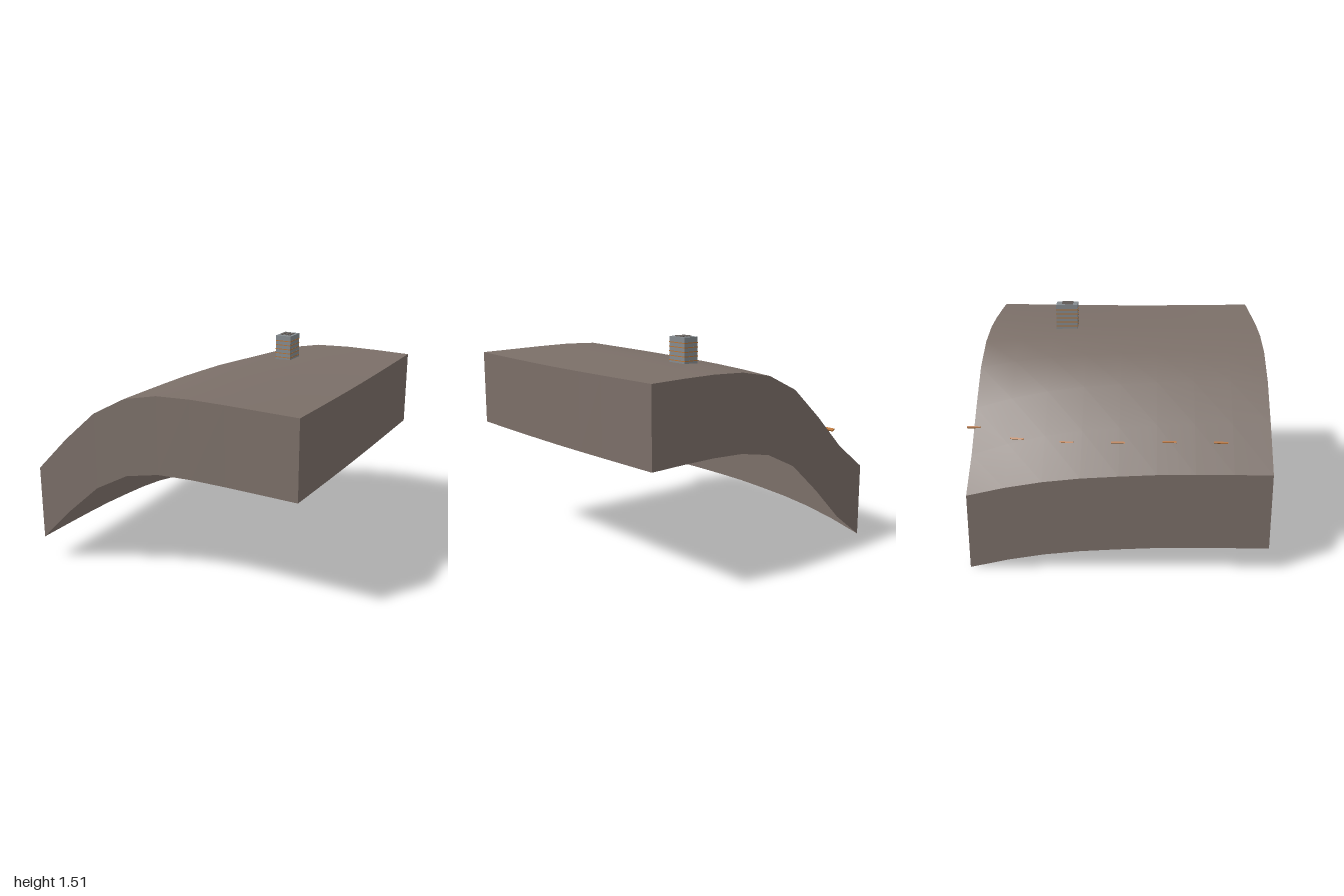
import * as THREE from 'three';

const mat = (name, color, side = THREE.FrontSide) => {
  const m = new THREE.MeshStandardMaterial({ color, side });
  m.name = name;
  return m;
};

// Terrain extents and edge profiles (8 even steps from -x to +x)
const X0 = -0.98, X1 = 0.98, Z0 = -0.955, Z1 = 1.0, N = 8, SKIRT = 0.52;
const frontProfile = [0.69, 0.935, 1.15, 1.28, 1.332, 1.342, 1.34, 1.335, 1.33];
const backProfile = [0.523, 0.705, 0.945, 1.16, 1.275, 1.32, 1.33, 1.328, 1.322];
// How far the section has changed from front to back
const blend = [0, 0, 0.01, 0.04, 0.12, 0.22, 0.39, 0.65, 1];

function sample(list, t) {
  const f = THREE.MathUtils.clamp(t, 0, 1) * N;
  const i = Math.min(Math.floor(f), N - 1);
  return THREE.MathUtils.lerp(list[i], list[i + 1], f - i);
}

// Ground height at u (left to right) and v (front to back)
function heightUV(u, v) {
  const h = THREE.MathUtils.lerp(sample(frontProfile, u), sample(backProfile, u), sample(blend, v));
  return h - 0.012 * u * Math.sin(Math.PI * v);
}
const heightAt = (x, z) => heightUV((x - X0) / (X1 - X0), (Z1 - z) / (Z1 - Z0));

// A plane grid whose vertices are placed by rule(u, v)
function sheet(su, sv, rule) {
  const g = new THREE.PlaneGeometry(1, 1, su, sv);
  const p = g.attributes.position;
  for (let i = 0; i < p.count; i++) p.setXYZ(i, ...rule(p.getX(i) + 0.5, p.getY(i) + 0.5));
  g.computeVertexNormals();
  return g;
}

export function createModel() {
  const root = new THREE.Group();
  const earth = mat('earth', 0x7b6f68, THREE.DoubleSide);
  const concrete = mat('concrete', 0x858b8f);
  const vent = mat('vent', 0x6a6460);
  const orange = mat('copper', 0xb87333);

  const add = (parent, name, geometry, material, x = 0, y = 0, z = 0) => {
    const m = new THREE.Mesh(geometry, material);
    m.name = name;
    m.position.set(x, y, z);
    parent.add(m);
    return m;
  };
  const lerp = THREE.MathUtils.lerp;

  // Curved ground surface
  const terrain = new THREE.Group();
  terrain.name = 'terrain';
  root.add(terrain);
  add(terrain, 'ground', sheet(N, N, (u, v) => [lerp(X0, X1, u), heightUV(u, v), lerp(Z1, Z0, v)]), earth);

  // Skirt walls, open underneath
  const wall = (name, path) => add(terrain, name, sheet(N, 1, (s, t) => {
    const [u, v] = path(s);
    return [lerp(X0, X1, u), heightUV(u, v) - SKIRT * (1 - t), lerp(Z1, Z0, v)];
  }), earth);
  wall('frontWall', s => [s, 0]);
  wall('backWall', s => [1 - s, 1]);
  wall('leftWall', s => [1, s]);
  wall('rightWall', s => [0, 1 - s]);

  // Small tower with banded sides and a slotted top
  const tower = new THREE.Group();
  tower.name = 'tower';
  tower.position.set(0.2425, 0, -0.3875);
  root.add(tower);
  const w = 0.115, d = 0.155, top = 1.503, base = 1.3;
  add(tower, 'towerBody', new THREE.BoxGeometry(w, top - base, d), concrete, 0, (top + base) / 2, 0);
  for (let i = 0; i < 5; i++) {
    add(tower, 'towerBand', new THREE.BoxGeometry(w + 0.002, 0.006, d + 0.002), orange, 0, 1.345 + i * 0.03, 0);
  }
  for (const x of [-0.03, 0, 0.03]) {
    add(tower, 'ventSlot', new THREE.BoxGeometry(0.016, 0.008, 0.08), vent, x, top + 0.002, 0.003);
  }

  // Row of markers along the slope: x, z, height above ground, yaw
  const markers = [
    [-0.83, 0.675, 0.008, 0], [-0.825, 0.345, 0.007, 0], [-0.812, 0.015, 0.002, 0.05],
    [-0.78, -0.32, -0.008, 0.1], [-0.72, -0.65, 0.002, 0.15], [-0.602, -0.955, 0.012, 0],
  ];
  for (const [x, z, lift, yaw] of markers) {
    const m = add(root, 'slopeMarker', new THREE.BoxGeometry(0.022, 0.01, 0.09), orange, x, heightAt(x, z) + lift, z);
    m.rotation.set(0, -yaw, -0.6);
  }
  return root;
}
